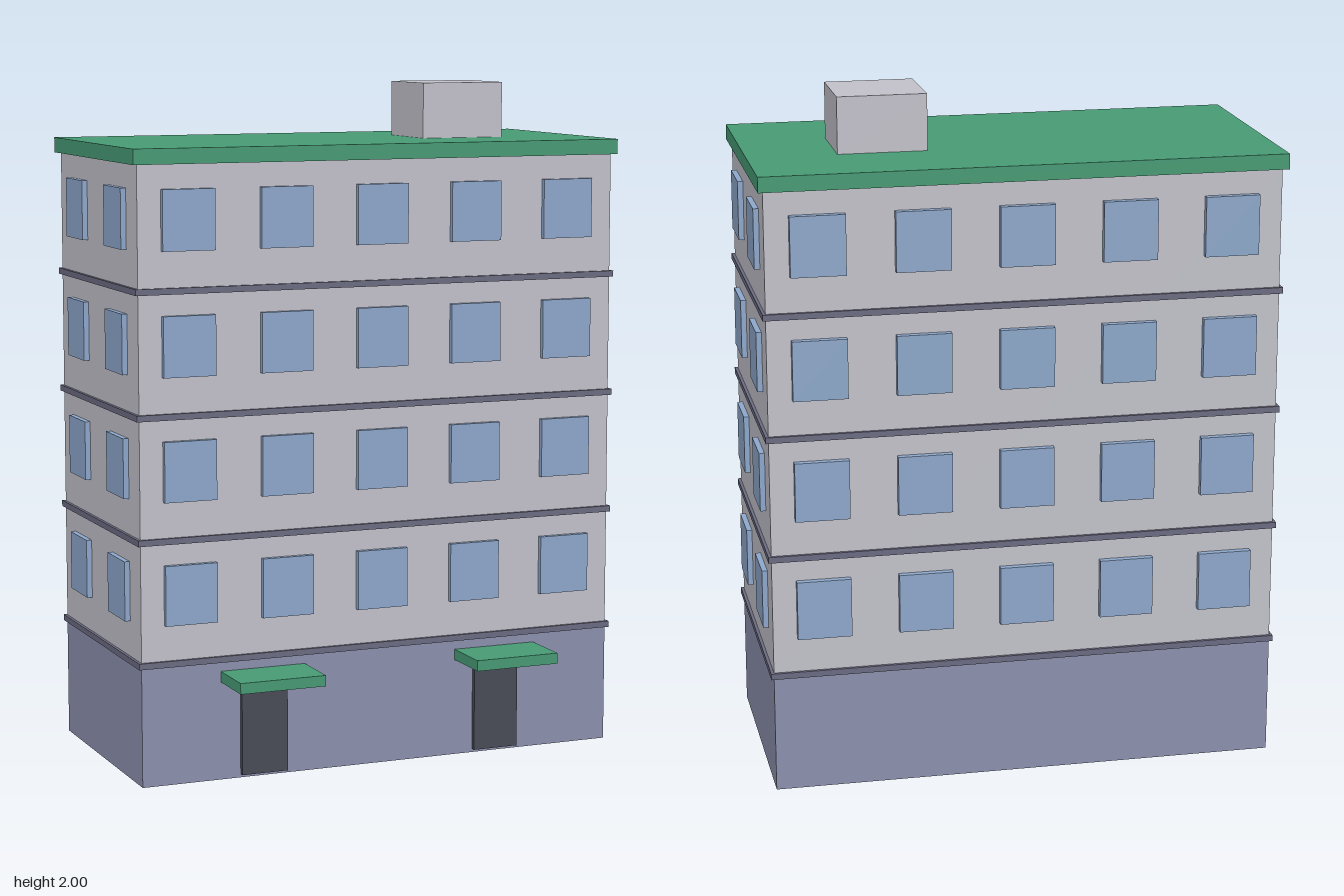
import * as THREE from 'three';

export function createModel() {
  const model = new THREE.Group();
  model.name = 'apartmentBlock';

  const paint = (name, color) => {
    const m = new THREE.MeshStandardMaterial({ color });
    m.name = name;
    return m;
  };
  const wall = paint('wallGrey', 0xc2c1ca);
  const base = paint('baseBlueGrey', 0x8b8fac);
  const trim = paint('trimDarkGrey', 0x6b6b82);
  const glass = paint('windowBlue', 0x8da7ca);
  const green = paint('roofGreen', 0x479a74);
  const dark = paint('doorDark', 0x484a56);

  // Box given by its extents on each axis
  const box = (name, mat, [x0, x1], [y0, y1], [z0, z1], parent = model) => {
    const mesh = new THREE.Mesh(new THREE.BoxGeometry(x1 - x0, y1 - y0, z1 - z0), mat);
    mesh.position.set((x0 + x1) / 2, (y0 + y1) / 2, (z0 + z1) / 2);
    mesh.name = name;
    parent.add(mesh);
    return mesh;
  };

  const X = 0.745, BACK = -0.43, FRONT = 0.285;
  const FLOOR = 0.358;

  // Ground floor, upper storeys, roof slab and rooftop hut
  box('groundFloor', base, [-X, X], [0, FLOOR], [BACK, FRONT]);
  box('upperWalls', wall, [-X, X], [FLOOR, 1.79], [BACK, FRONT]);
  box('roofSlab', green, [-0.76, 0.76], [1.79, 1.835], [-0.448, 0.3]);
  box('rooftopHut', wall, [0.24, 0.5], [1.835, 2], [-0.195, 0.042]);

  // Each upper storey: a ledge below and windows on all four sides
  for (let i = 0; i < 4; i++) {
    const storey = new THREE.Group();
    storey.name = 'storey' + (i + 1);
    model.add(storey);

    const y = FLOOR * (i + 1);
    box('ledge', trim, [-0.754, 0.754], [y - 0.009, y + 0.009], [BACK - 0.009, FRONT + 0.009], storey);

    const rows = [y + 0.113, y + 0.288];
    for (let k = -2; k <= 2; k++) {
      const c = k * 0.298;
      const span = [c - 0.079, c + 0.079];
      box('frontWindow', glass, span, rows, [FRONT - 0.01, 0.301], storey);
      box('backWindow', glass, span, rows, [-0.45, BACK + 0.01], storey);
    }
    for (const c of [0.108, -0.252]) {
      const span = [c - 0.079, c + 0.079];
      box('leftWindow', glass, [X - 0.01, 0.761], rows, span, storey);
      box('rightWindow', glass, [-0.761, -X + 0.01], rows, span, storey);
    }
  }

  // Entrances: door with a canopy above
  for (const c of [-0.373, 0.371]) {
    const entrance = new THREE.Group();
    entrance.name = 'entrance';
    model.add(entrance);
    box('door', dark, [c - 0.071, c + 0.071], [0.01, 0.28], [FRONT - 0.01, 0.3], entrance);
    box('canopy', green, [c - 0.131, c + 0.131], [0.29, 0.322], [FRONT - 0.01, 0.449], entrance);
  }

  return model;
}
